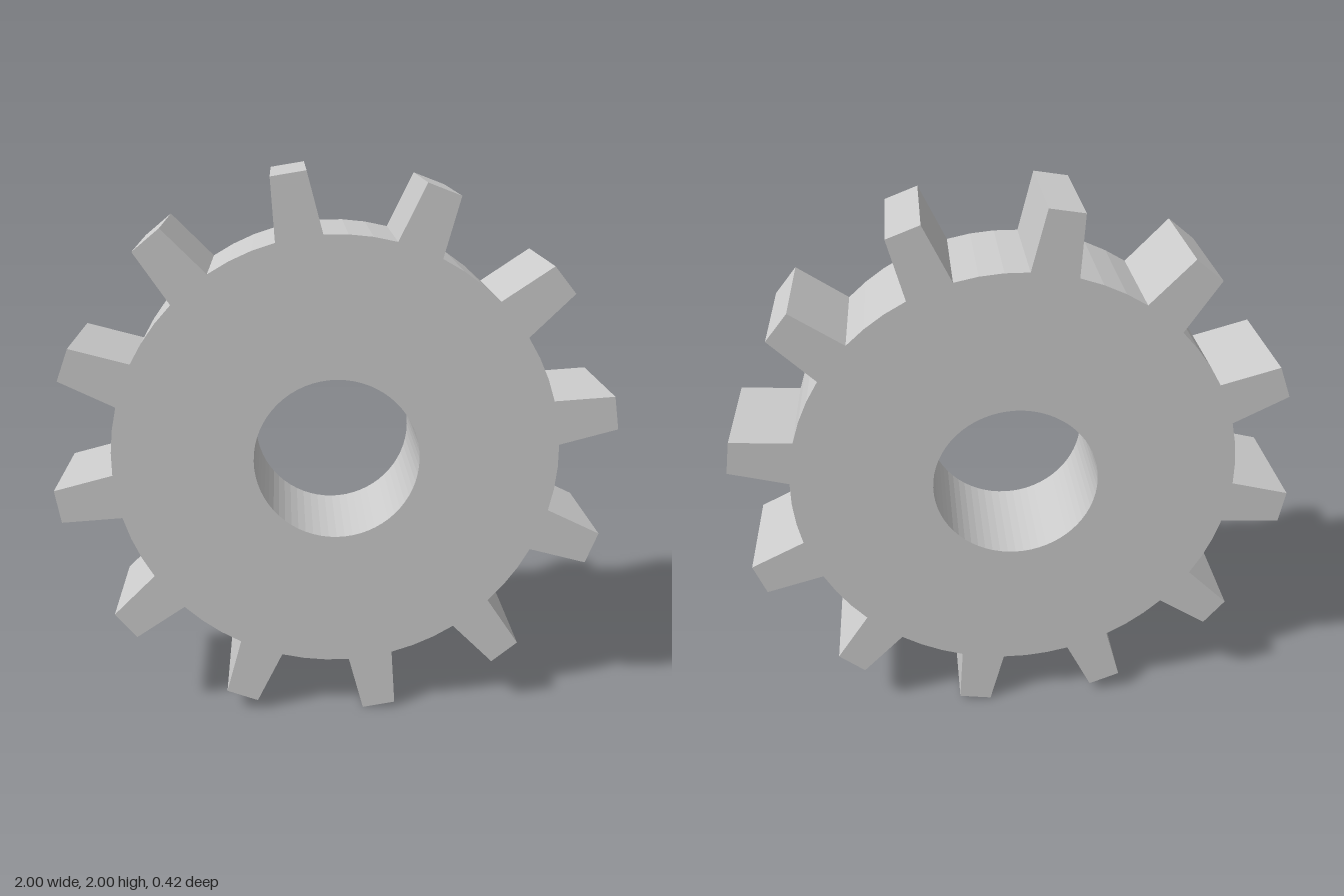
import * as THREE from 'three';

const TEETH = 12;
const TIP_R = 1.005, ROOT_R = 0.793, HOLE_R = 0.294, DEPTH = 0.42;
const PHASE = 9.18, TIP_HALF = 3.48, ROOT_HALF = 5.9; // degrees
const ROOT_STEPS = 3;

const polar = (radius, degrees) => {
  const a = THREE.MathUtils.degToRad(degrees);
  return new THREE.Vector2(radius * Math.cos(a), radius * Math.sin(a));
};

export function createModel() {
  const group = new THREE.Group();
  group.name = 'gear';

  // Outline: tapered teeth joined by short root arcs
  const pitch = 360 / TEETH;
  const outline = [];
  for (let i = 0; i < TEETH; i++) {
    const mid = PHASE + i * pitch;
    outline.push(
      polar(ROOT_R, mid - ROOT_HALF),
      polar(TIP_R, mid - TIP_HALF),
      polar(TIP_R, mid + TIP_HALF)
    );
    const gap = pitch - 2 * ROOT_HALF;
    for (let s = 0; s < ROOT_STEPS; s++) {
      outline.push(polar(ROOT_R, mid + ROOT_HALF + (gap * s) / ROOT_STEPS));
    }
  }
  const shape = new THREE.Shape(outline);

  // Round axle bore
  const bore = new THREE.Path();
  bore.absarc(0, 0, HOLE_R, 0, Math.PI * 2, true);
  shape.holes.push(bore);

  // Toothed wheel, standing upright
  const geometry = new THREE.ExtrudeGeometry(shape, {
    depth: DEPTH, bevelEnabled: false, curveSegments: 32,
  });
  geometry.translate(0, 1, -DEPTH / 2);
  const wheel = new THREE.Mesh(
    geometry,
    new THREE.MeshStandardMaterial({ color: 0xcccccc, flatShading: true })
  );
  wheel.name = 'toothedWheel';
  group.add(wheel);
  return group;
}
